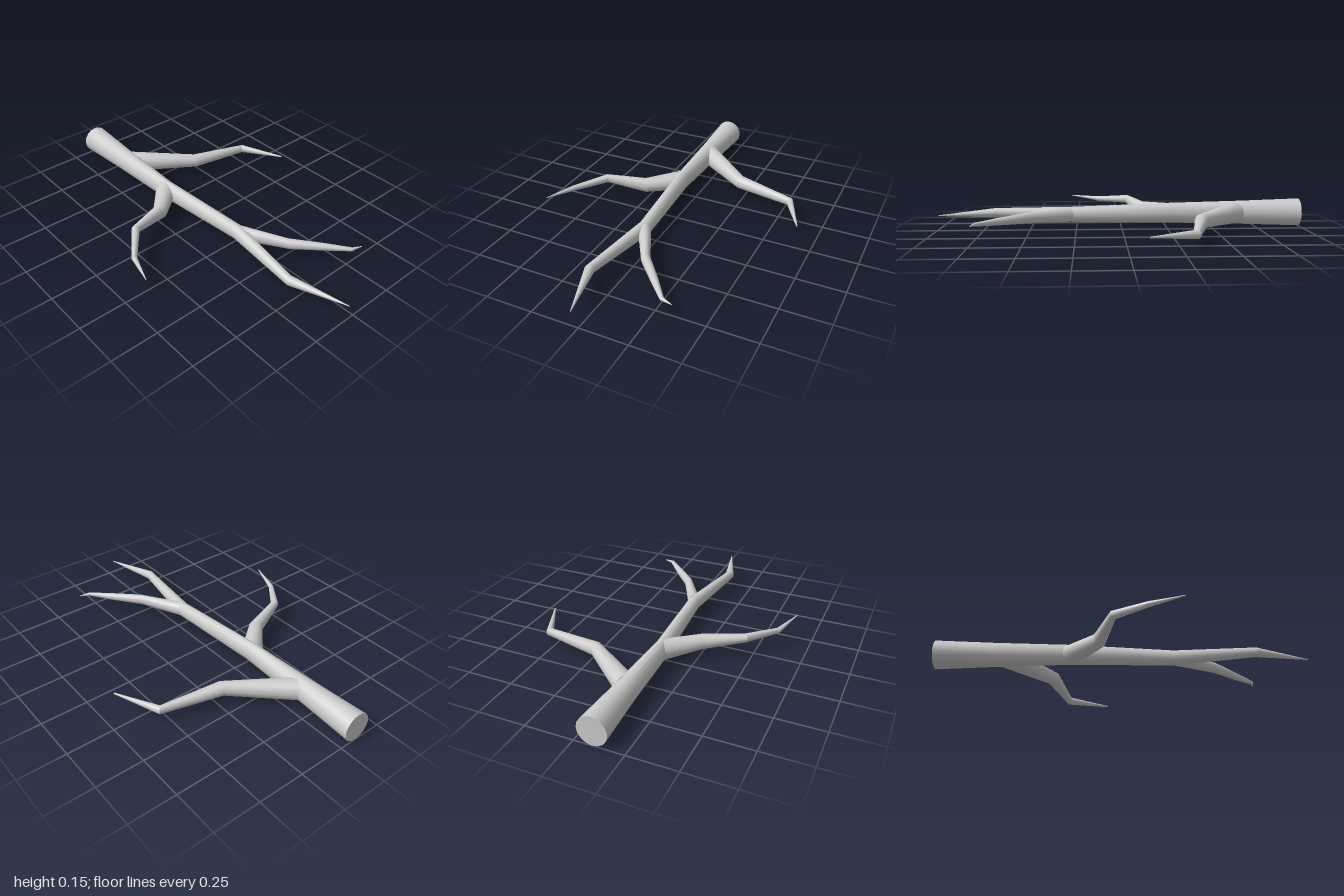
import * as THREE from 'three';
import { toCreasedNormals } from 'three/addons/utils/BufferGeometryUtils.js';

const SIDES = 16;

// Tapering limb. Each section is [ax, az, bx, bz, y, ry]: the plan position of its
// two side edges (a lies on the +x side when the limb runs towards +z), centre height
// and half height.
function limb(sections) {
  const pos = [], index = [];
  for (const [ax, az, bx, bz, y, ry] of sections) {
    const cx = (ax + bx) / 2, cz = (az + bz) / 2;
    for (let j = 0; j < SIDES; j++) {
      const t = (j / SIDES) * Math.PI * 2, c = Math.cos(t);
      pos.push(cx + (ax - cx) * c, y + ry * Math.sin(t), cz + (az - cz) * c);
    }
  }
  const last = (sections.length - 1) * SIDES;
  for (let i = 0; i < last; i += SIDES) {
    for (let j = 0; j < SIDES; j++) {
      const k = (j + 1) % SIDES;
      const a = i + j, b = i + k, c = b + SIDES, d = a + SIDES;
      index.push(a, b, c, a, c, d);
    }
  }
  // flat ends
  for (let j = 1; j < SIDES - 1; j++) {
    index.push(0, j + 1, j, last, last + j, last + j + 1);
  }
  const geometry = new THREE.BufferGeometry();
  geometry.setAttribute('position', new THREE.Float32BufferAttribute(pos, 3));
  geometry.setIndex(index);
  return toCreasedNormals(geometry, 0.5);
}

const LIMBS = {
  mainStem: [
    [-0.018, -1, -0.17, -1, 0.08, 0.077],
    [-0.038, -0.68, -0.15, -0.68, 0.08, 0.066],
    [-0.057, -0.27, -0.133, -0.27, 0.08, 0.056],
    [-0.02, 0.27, -0.09, 0.27, 0.08, 0.042],
    [-0.096, 0.695, -0.144, 0.71, 0.083, 0.026],
    [-0.033, 0.998, -0.036, 1, 0.08, 0.002],
  ],
  leftBranch: [
    [-0.037, -0.68, -0.11, -0.59, 0.08, 0.058],
    [0.225, -0.437, 0.207, -0.365, 0.078, 0.038],
    [0.55, -0.345, 0.523, -0.314, 0.066, 0.023],
    [0.65, -0.1, 0.643, -0.097, 0.072, 0.004],
  ],
  rightBranch: [
    [-0.06, -0.23, -0.125, -0.33, 0.08, 0.054],
    [-0.235, -0.093, -0.277, -0.157, 0.084, 0.041],
    [-0.452, -0.035, -0.48, -0.067, 0.115, 0.024],
    [-0.58, 0.12, -0.606, 0.108, 0.102, 0.015],
    [-0.648, 0.29, -0.652, 0.288, 0.118, 0.002],
  ],
  frontBranch: [
    [-0.02, 0.265, -0.07, 0.317, 0.08, 0.04],
    [0.09, 0.488, 0.063, 0.532, 0.08, 0.029],
    [0.207, 0.63, 0.178, 0.655, 0.08, 0.02],
    [0.292, 0.742, 0.278, 0.757, 0.08, 0.01],
    [0.341, 0.764, 0.34, 0.767, 0.08, 0.002],
  ],
};

export function createModel() {
  const group = new THREE.Group();
  group.name = 'branch';
  const material = new THREE.MeshStandardMaterial({ color: 0xcccccc });
  for (const [name, sections] of Object.entries(LIMBS)) {
    const mesh = new THREE.Mesh(limb(sections), material);
    mesh.name = name;
    group.add(mesh);
  }
  return group;
}
